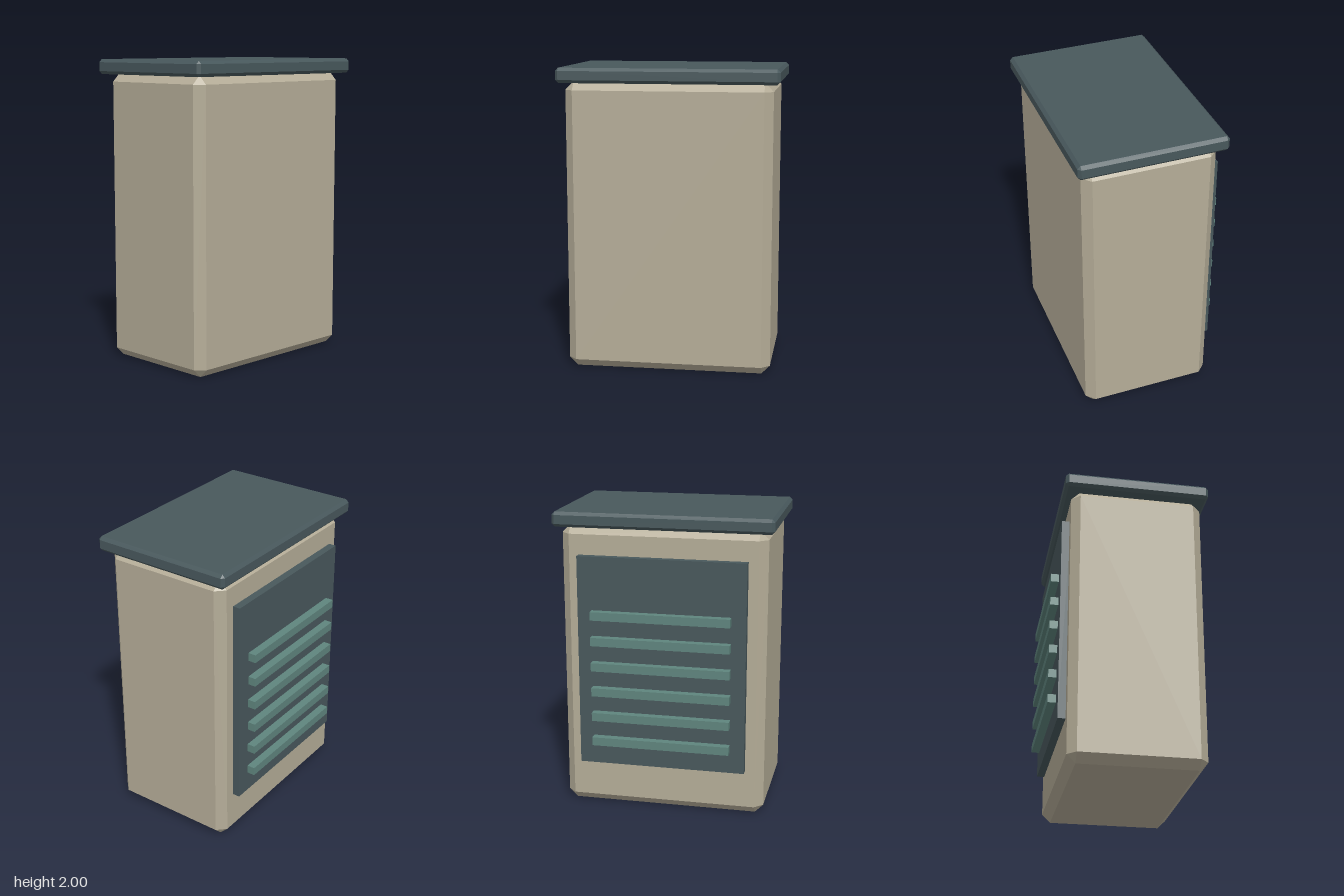
import * as THREE from 'three';
import { ConvexGeometry } from 'three/addons/geometries/ConvexGeometry.js';

const paint = (color) => new THREE.MeshStandardMaterial({ color, flatShading: true });

// Box with every edge chamfered by c: each corner becomes three points
function chamferBox(w, h, d, c) {
  const points = [];
  for (const sx of [-1, 1]) for (const sy of [-1, 1]) for (const sz of [-1, 1]) {
    const x = w / 2, y = h / 2, z = d / 2;
    points.push(
      new THREE.Vector3(sx * x, sy * (y - c), sz * (z - c)),
      new THREE.Vector3(sx * (x - c), sy * y, sz * (z - c)),
      new THREE.Vector3(sx * (x - c), sy * (y - c), sz * z)
    );
  }
  return new ConvexGeometry(points);
}

export function createModel() {
  const model = new THREE.Group();
  const bodyPaint = paint(0xb5ad98);
  const darkPaint = paint(0x48585c);
  const slatPaint = paint(0x5f857e);

  const add = (name, geometry, material, y, z, parent = model) => {
    const mesh = new THREE.Mesh(geometry, material);
    mesh.name = name;
    mesh.position.set(0, y, z);
    parent.add(mesh);
    return mesh;
  };

  // Cabinet body and overhanging lid
  add('body', chamferBox(1.35, 1.91, 0.875, 0.056), bodyPaint, 0.955, 0.028);
  add('lid', chamferBox(1.442, 0.098, 0.968, 0.02), darkPaint, 1.951, 0.026);

  // Rear panel
  add('backPanel', new THREE.BoxGeometry(1.11, 1.41, 0.06), darkPaint, 1.015, -0.43);

  // Horizontal vent slats on the panel
  const vent = new THREE.Group();
  vent.name = 'vent';
  model.add(vent);
  const slat = new THREE.BoxGeometry(0.918, 0.056, 0.06);
  for (let i = 0; i < 6; i++) add('ventSlat', slat, slatPaint, 0.479 + i * 0.172, -0.483, vent);

  return model;
}
